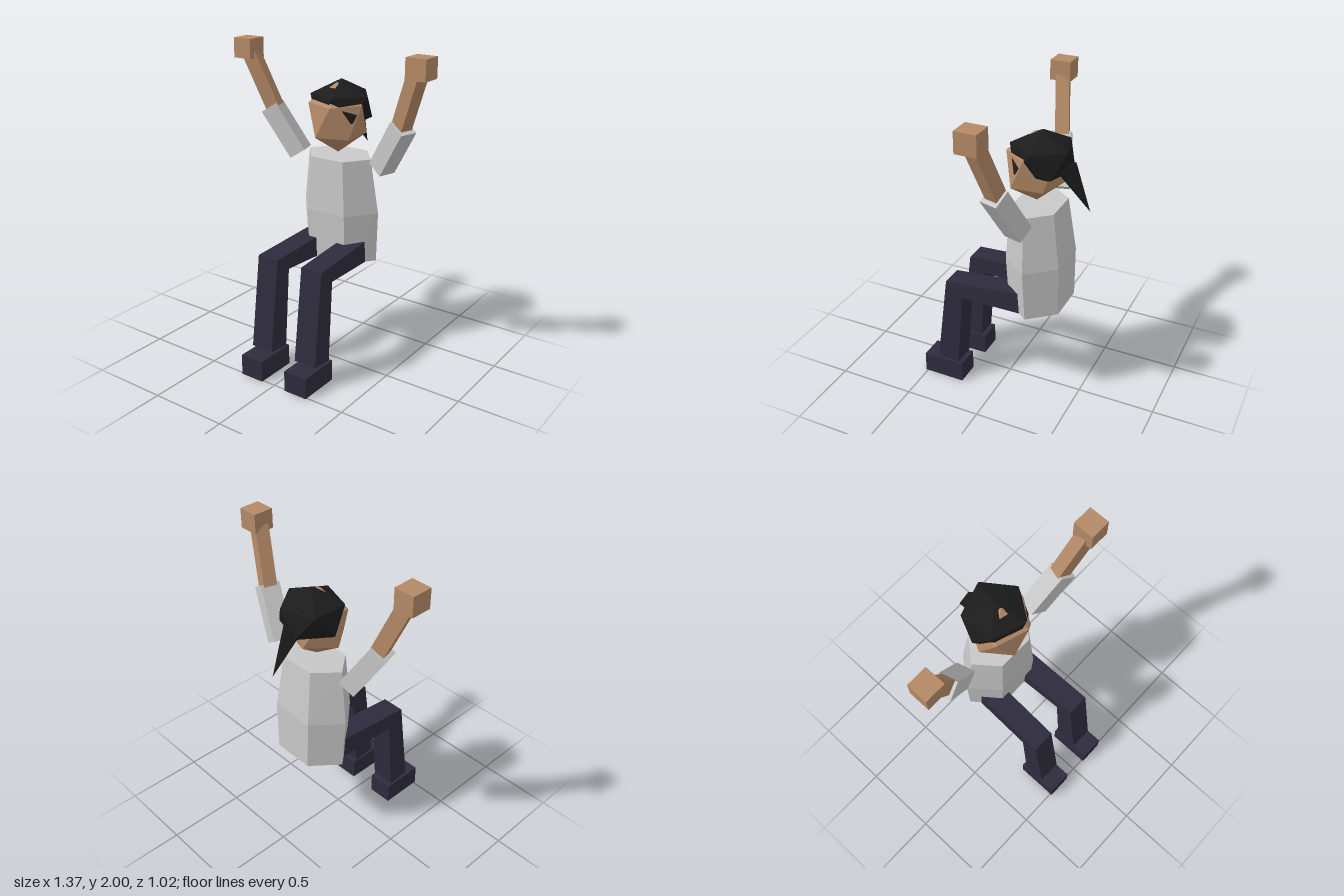
import * as THREE from 'three';

const mat = (name, color) => {
  const m = new THREE.MeshStandardMaterial({ color });
  m.name = name;
  return m;
};
const V = (x, y, z) => new THREE.Vector3(x, y, z);

// Joins cross-sections (arrays of points) into a closed faceted solid.
function loft(rings) {
  const tris = [];
  const n = rings[0].length;
  for (let r = 0; r < rings.length - 1; r++) {
    for (let i = 0; i < n; i++) {
      const j = (i + 1) % n;
      const [a, b, c, d] = [rings[r][i], rings[r][j], rings[r + 1][j], rings[r + 1][i]];
      tris.push([a, b, c], [a, c, d]);
    }
  }
  const last = rings[rings.length - 1];
  for (let i = 1; i < n - 1; i++) {
    tris.push([rings[0][0], rings[0][i + 1], rings[0][i]], [last[0], last[i], last[i + 1]]);
  }
  // Turn the faces outward when the solid was built as a mirror image
  const volume = tris.reduce((s, [a, b, c]) => s + a.dot(b.clone().cross(c)), 0);
  if (volume < 0) tris.forEach((t) => t.reverse());
  const g = new THREE.BufferGeometry().setFromPoints(tris.flat());
  g.computeVertexNormals();
  return g;
}

// Twenty-sided ball standing on a corner, with an upper corner towards +x.
function facetedBall(cx, cy, cz, rx, ry, rz, lean = 0) {
  const ring = (y, start) => Array.from({ length: 5 }, (_, i) => {
    const a = start + (i * Math.PI * 2) / 5;
    return V(Math.cos(a) * rx, y * ry, Math.sin(a) * rz);
  });
  const up = ring(0.447, 0);
  const low = ring(-0.447, Math.PI / 5);
  const top = V(0, ry, 0);
  const bottom = V(0, -ry, 0);
  const pts = [];
  for (let i = 0; i < 5; i++) {
    const j = (i + 1) % 5;
    pts.push(top, up[j], up[i], up[i], up[j], low[i]);
    pts.push(low[i], up[j], low[j], low[i], low[j], bottom);
  }
  const g = new THREE.BufferGeometry().setFromPoints(pts);
  g.rotateX(lean).translate(cx, cy, cz);
  g.computeVertexNormals();
  return g;
}

// Square bar between two points.
function bar(from, to, across, width, depth) {
  const v = across.clone().normalize();
  const u = to.clone().sub(from).cross(v).normalize();
  const section = (c) => [[-1, -1], [1, -1], [1, 1], [-1, 1]].map(([p, q]) =>
    c.clone().addScaledVector(u, (p * width) / 2).addScaledVector(v, (q * depth) / 2));
  return loft([section(from), section(to)]);
}

export function createModel() {
  const model = new THREE.Group();
  model.name = 'seatedFigure';
  const skin = mat('skin', 0xb58a67);
  const shirt = mat('shirt', 0xc8c8c8);
  const trousers = mat('trousers', 0x2e2c3d);
  const hair = mat('hair', 0x1c1c1c);
  const add = (name, geometry, material, parent = model) => {
    const mesh = new THREE.Mesh(geometry, material);
    mesh.name = name;
    parent.add(mesh);
    return mesh;
  };

  // Torso: six-sided sections as [half width, front z, back z, front y, back y]
  const torso = [
    [0.265, -0.055, -0.385, 0.645, 0.655],
    [0.28, -0.035, -0.38, 0.97, 0.98],
    [0.23, -0.05, -0.33, 1.315, 1.325],
  ].map(([w, zf, zb, yf, yb]) => {
    const zm = (zf + zb) / 2;
    const ym = (yf + yb) / 2;
    return [V(w, ym, zm), V(w / 2, yb, zb), V(-w / 2, yb, zb),
      V(-w, ym, zm), V(-w / 2, yf, zf), V(w / 2, yf, zf)];
  });
  add('torso', loft(torso), shirt);

  // Head and hair
  add('head', facetedBall(0, 1.555, -0.165, 0.18, 0.22, 0.17, 0.04), skin);
  add('hair', facetedBall(0, 1.625, -0.205, 0.19, 0.165, 0.19), hair);

  // Ponytail: four-sided spike pointing down and back
  const tip = V(0, 1.33, -0.51);
  const root = V(0, 1.585, -0.35);
  const spike = new THREE.ConeGeometry(0.073, tip.distanceTo(root), 4).toNonIndexed();
  spike.computeVertexNormals();
  const ponytail = add('ponytail', spike, hair);
  ponytail.position.copy(tip).add(root).multiplyScalar(0.5);
  ponytail.quaternion.setFromUnitVectors(V(0, 1, 0), tip.clone().sub(root).normalize());

  for (const s of [1, -1]) {
    const side = s > 0 ? 'left' : 'right';

    // Raised arm
    const arm = new THREE.Group();
    arm.name = side + 'Arm';
    model.add(arm);
    const across = V(-0.28 * s, 0, 0.96);
    add('sleeve', bar(V(0.307 * s, 1.28, -0.193), V(0.484 * s, 1.57, -0.13), across, 0.115, 0.12), shirt, arm);
    add('forearm', bar(V(0.465 * s, 1.56, -0.138), V(0.597 * s, 1.9, -0.075), across, 0.09, 0.085), skin, arm);
    const hand = new THREE.BoxGeometry(0.13, 0.125, 0.132);
    add('hand', hand.translate(0.618 * s, 1.9375, -0.073), skin, arm);

    // Bent leg: hip, knee and ankle as [inner x, outer x, outer z, y, inner z, y]
    const leg = new THREE.Group();
    leg.name = side + 'Leg';
    model.add(leg);
    const sections = [
      [0.075, 0.222, -0.15, 0.79, -0.16, 0.65],
      [0.09, 0.237, 0.335, 0.755, 0.225, 0.66],
      [0.09, 0.242, 0.41, 0.16, 0.265, 0.145],
    ].map(([x0, x1, za, ya, zb, yb]) =>
      [V(x0 * s, ya, za), V(x1 * s, ya, za), V(x1 * s, yb, zb), V(x0 * s, yb, zb)]);
    add('trouserLeg', loft(sections), trousers, leg);
    const foot = new THREE.BoxGeometry(0.16, 0.135, 0.275);
    add('foot', foot.translate(0.168 * s, 0.0675, 0.375), trousers, leg);
  }
  return model;
}
